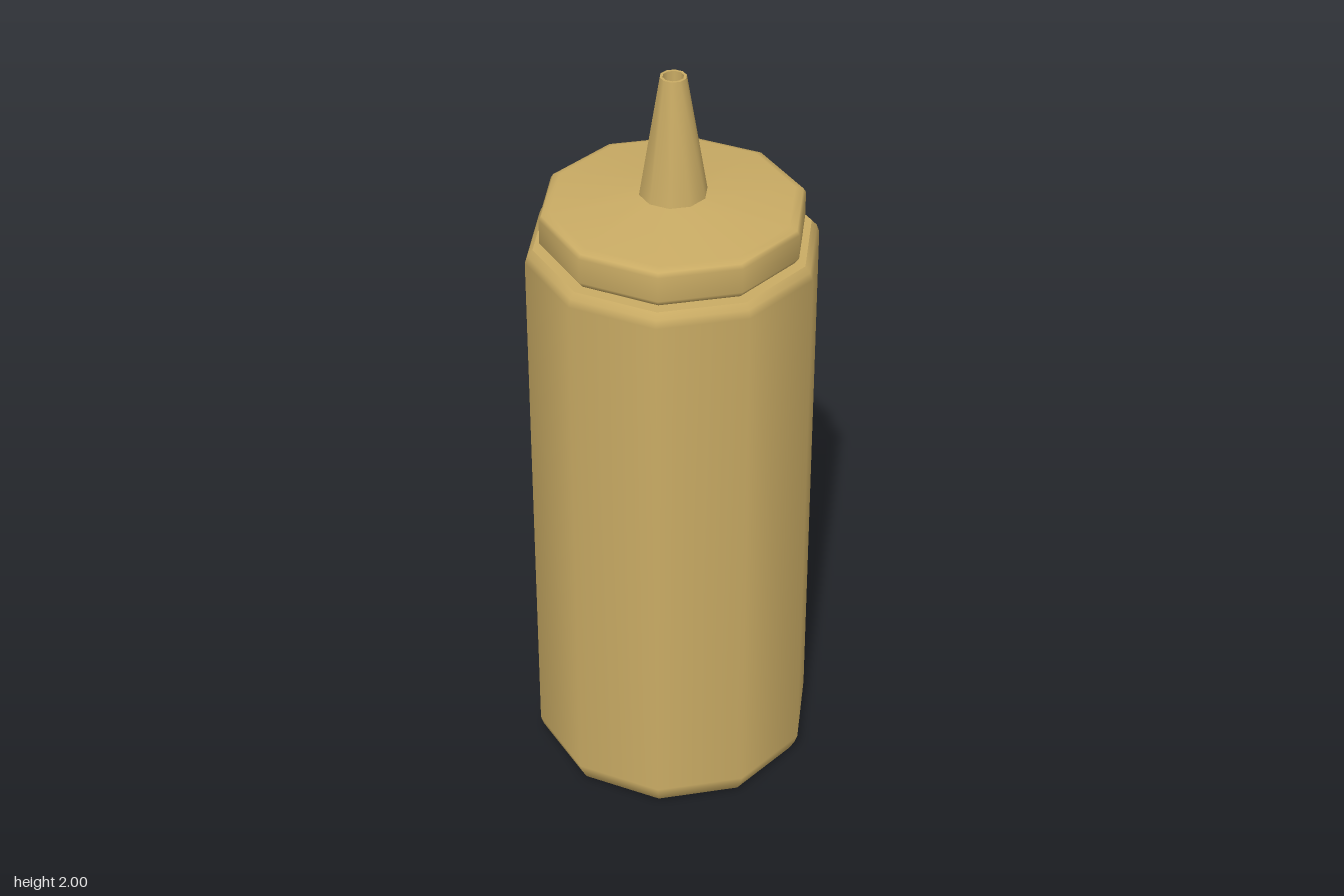
import * as THREE from 'three';

const SIDES = 10;
const material = new THREE.MeshStandardMaterial({ color: 0xc9ab64 });

// Ten-sided turned part; the profile runs from bottom to top as [radius, y]
function turned(name, profile) {
  const points = profile.map(([r, y]) => new THREE.Vector2(r, y));
  const mesh = new THREE.Mesh(new THREE.LatheGeometry(points, SIDES), material);
  mesh.name = name;
  return mesh;
}

export function createModel() {
  const bottle = new THREE.Group();
  bottle.name = 'squeezeBottle';

  // Bottle body with bevelled foot and shoulder
  const body = new THREE.Group();
  body.name = 'body';
  body.add(
    turned('bodyShell', [
      [0, 0], [0.335, 0], [0.347, 0.008], [0.362, 0.035], [0.37, 0.06],
      [0.37, 1.525], [0.363, 1.545], [0.35, 1.56],
    ]),
    turned('shoulder', [[0.35, 1.56], [0, 1.56]]),
  );

  // Screw cap with a slightly conical top
  const cap = new THREE.Group();
  cap.name = 'cap';
  cap.add(
    turned('capRim', [
      [0, 1.562], [0.322, 1.562], [0.333, 1.578], [0.333, 1.643],
      [0.326, 1.654], [0.306, 1.661], [0.085, 1.685],
    ]),
  );

  // Tapered nozzle with a recessed opening
  const nozzle = new THREE.Group();
  nozzle.name = 'nozzle';
  nozzle.add(
    turned('spout', [[0.085, 1.685], [0.033, 2]]),
    turned('lip', [[0.033, 2], [0.026, 2]]),
    turned('opening', [[0.026, 2], [0.026, 1.96]]),
    turned('openingFloor', [[0.026, 1.96], [0, 1.96]]),
  );

  bottle.add(body, cap, nozzle);
  return bottle;
}
